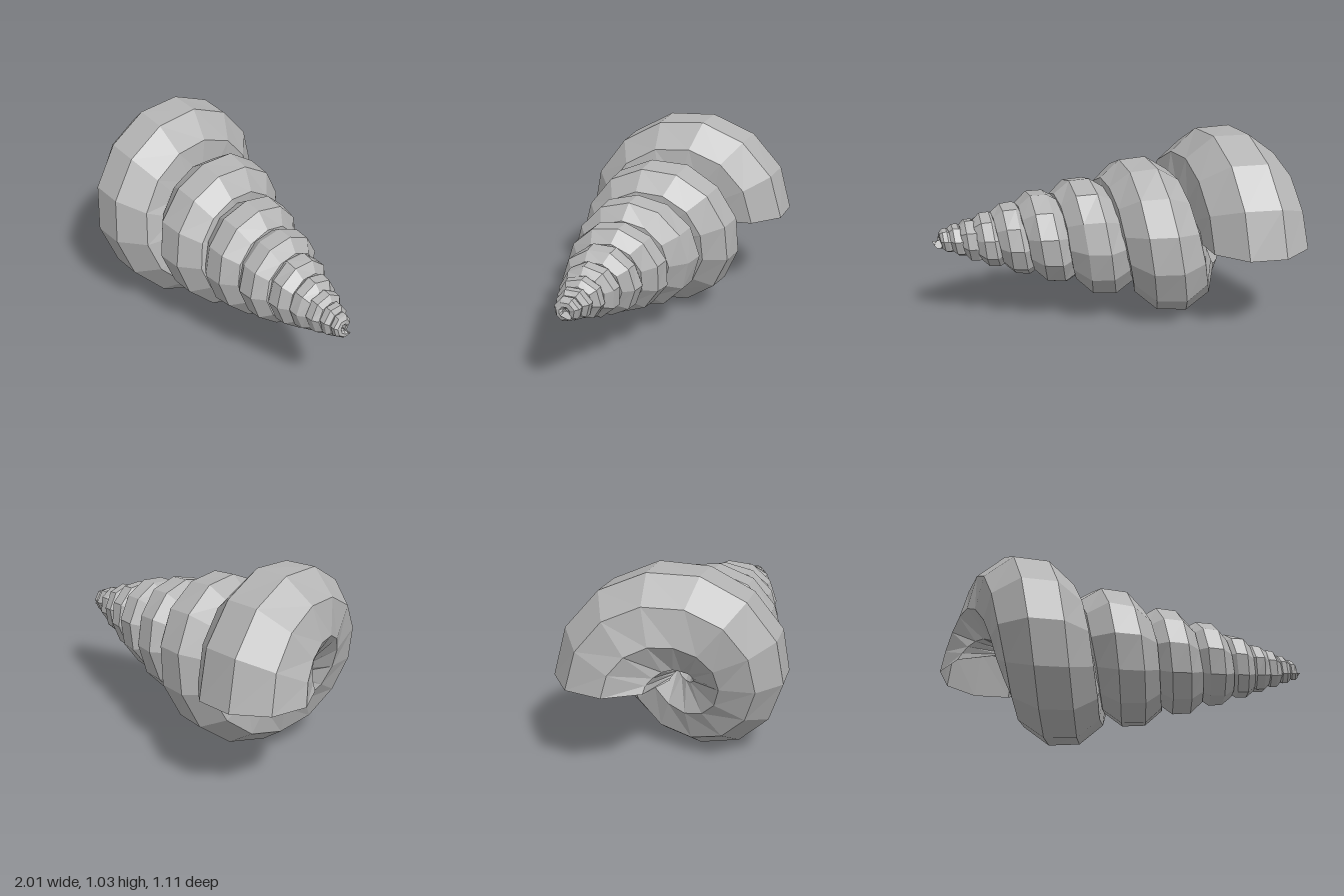
import * as THREE from 'three';

const AXIS_Y = 0.48, AXIS_Z = 0.03; // coiling axis runs along x
const SIDES = 9, TURNS = 9;

// Position along the axis and outer radius, once per half turn from the mouth
const growth = new THREE.SplineCurve([
  [-0.72, 0.585], [-0.475, 0.518], [-0.235, 0.44], [-0.05, 0.382], [0.11, 0.333], [0.24, 0.295],
  [0.36, 0.265], [0.455, 0.235], [0.54, 0.203], [0.615, 0.178], [0.68, 0.155], [0.73, 0.137],
  [0.775, 0.12], [0.815, 0.106], [0.85, 0.093], [0.885, 0.08], [0.915, 0.069], [0.94, 0.058], [0.965, 0.046],
].map(([x, r]) => new THREE.Vector2(x, r)));

// Seeded noise in -1..1
let seed = 11;
function noise() {
  seed = (seed * 16807) % 2147483647;
  return (seed / 2147483647) * 2 - 1;
}

// One nine-sided section of the tube after n turns; later ones lean towards the apex
function section(n) {
  const { x, y: r } = growth.getPoint(n / TURNS);
  const phi = n * Math.PI * 2;
  const blend = Math.min(n, 1);
  const rough = 0.01 + 0.01 * n;
  const ring = [];
  for (let j = 0; j < SIDES; j++) {
    const a = Math.PI / 2 + ((j + 0.5) / SIDES) * Math.PI * 2 - 0.09 * blend;
    const tube = r * (0.505 - 0.01 * blend) * (1 + rough * noise());
    const rad = r * 0.53 + tube * Math.sin(a);
    ring.push(
      x + tube * (1 + 0.06 * blend) * Math.cos(a),
      AXIS_Y + rad * Math.sin(phi),
      AXIS_Z - rad * Math.cos(phi),
    );
  }
  return ring;
}

// Faceted tube wound in a shrinking spiral, open at the mouth and pointed at the apex
function spiralGeometry() {
  const pos = [], index = [];
  let rings = 0;
  // Facets get coarser towards the apex
  for (let n = 0; n <= TURNS; n += 1 / Math.max(7, 14 - n)) {
    pos.push(...section(n));
    rings++;
  }
  for (let i = 0; i < rings - 1; i++) {
    for (let j = 0; j < SIDES; j++) {
      const a = i * SIDES + j, b = i * SIDES + ((j + 1) % SIDES);
      index.push(a, b, b + SIDES, a, b + SIDES, a + SIDES);
    }
  }
  // Apex point
  const tip = pos.length / 3, last = tip - SIDES;
  pos.push(0.998, AXIS_Y - 0.005, AXIS_Z);
  for (let j = 0; j < SIDES; j++) index.push(last + j, last + ((j + 1) % SIDES), tip);

  const geo = new THREE.BufferGeometry();
  geo.setAttribute('position', new THREE.Float32BufferAttribute(pos, 3));
  geo.setIndex(index);
  geo.computeVertexNormals();
  return geo;
}

export function createModel() {
  seed = 11;
  const group = new THREE.Group();
  group.name = 'spiralShell';
  const shellGrey = new THREE.MeshStandardMaterial({ color: 0xb4b4b4, flatShading: true, side: THREE.DoubleSide });
  shellGrey.name = 'shell grey';

  const shell = new THREE.Mesh(spiralGeometry(), shellGrey);
  shell.name = 'whorls';
  group.add(shell);
  return group;
}
